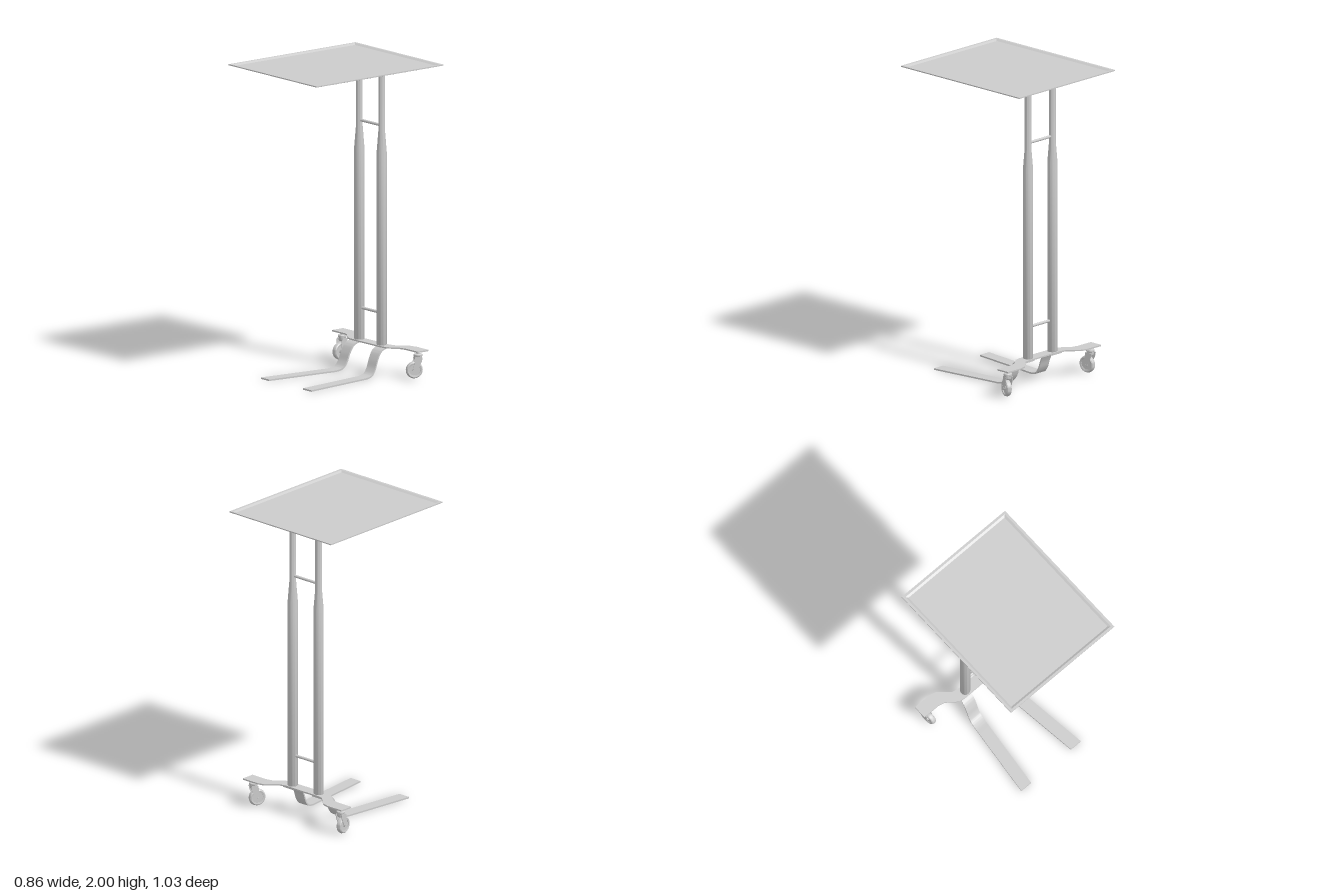
import * as THREE from 'three';
import { toCreasedNormals } from 'three/addons/utils/BufferGeometryUtils.js';

const grey = new THREE.MeshStandardMaterial({ color: 0xcccccc });

function add(parent, name, geometry, x = 0, y = 0, z = 0) {
  const mesh = new THREE.Mesh(geometry, grey);
  mesh.name = name;
  mesh.position.set(x, y, z);
  parent.add(mesh);
  return mesh;
}

const lathe = (pts, seg = 32) =>
  toCreasedNormals(new THREE.LatheGeometry(pts.map(p => new THREE.Vector2(...p)), seg), 0.6);

// Shallow rectangular tray: rings of [inset, height], from underside over the rim to the floor
function trayGeometry(hx, hz, rings) {
  const pos = [];
  const ring = ([i, y]) => [
    [hx - i, y, hz - i], [hx - i, y, i - hz], [i - hx, y, i - hz], [i - hx, y, hz - i]];
  const quad = (a, b, c, d) => pos.push(...a, ...b, ...c, ...a, ...c, ...d);
  const loops = rings.map(ring);
  for (let r = 0; r < loops.length - 1; r++) {
    for (let k = 0; k < 4; k++) {
      const n = (k + 1) % 4;
      quad(loops[r][k], loops[r][n], loops[r + 1][n], loops[r + 1][k]);
    }
  }
  quad(...loops[0].slice().reverse());
  quad(...loops[loops.length - 1]);
  const g = new THREE.BufferGeometry();
  g.setAttribute('position', new THREE.Float32BufferAttribute(pos, 3));
  g.computeVertexNormals();
  return g;
}

// Bent flat strip: S-curve in z and y, splayed outward toward the front
function footGeometry(side) {
  const curve = new THREE.CatmullRomCurve3([
    [-0.31, 0.174], [-0.262, 0.174], [-0.222, 0.156], [-0.192, 0.108], [-0.17, 0.052],
    [-0.143, 0.018], [-0.1, 0.006], [-0.04, 0.005]].map(p => new THREE.Vector3(p[0], p[1], 0)));
  const mid = curve.getPoints(42);
  mid.push(new THREE.Vector3(0.405, 0.005, 0));
  const offset = d => mid.map((p, i) => {
    const t = mid[Math.min(i + 1, mid.length - 1)].clone().sub(mid[Math.max(i - 1, 0)]).normalize();
    return new THREE.Vector2(p.x - t.y * d, Math.max(0, p.y + t.x * d));
  });
  const shape = new THREE.Shape([...offset(-0.005), ...offset(0.005).reverse()]);
  const g = new THREE.ExtrudeGeometry(shape, { depth: 0.082, bevelEnabled: false });
  g.rotateY(-Math.PI / 2).translate(0.041, 0, 0);
  const p = g.attributes.position;
  for (let i = 0; i < p.count; i++) {
    p.setX(i, p.getX(i) + side * (0.13 + 0.119 * (p.getZ(i) + 0.25)));
  }
  return toCreasedNormals(g, 0.6);
}

// Winged base plate with the caster pads set back
function plateGeometry() {
  const half = [[0.15, 0.243], [0.19, 0.25], [0.225, 0.277], [0.26, 0.305], [0.3, 0.315], [0.42, 0.315],
    [0.42, 0.405], [0.3, 0.405], [0.255, 0.393], [0.215, 0.357], [0.18, 0.326], [0.14, 0.317]];
  const mirrored = half.map(([x, y]) => [-x, y]).reverse();
  const shape = new THREE.Shape([...half, ...mirrored].map(p => new THREE.Vector2(...p)));
  return new THREE.ExtrudeGeometry(shape, { depth: 0.009, bevelEnabled: false }).rotateX(-Math.PI / 2);
}

// Swivel caster, origin at the stem on the floor, wheel trailing toward +z
function caster() {
  const g = new THREE.Group();
  const wheelY = 0.059, wheelZ = 0.024;
  add(g, 'casterStem', new THREE.CylinderGeometry(0.01, 0.01, 0.03, 20), 0, 0.166, 0);
  add(g, 'casterHousing', lathe([[0, 0.122], [0.02, 0.122], [0.024, 0.128], [0.024, 0.145],
    [0.027, 0.147], [0.027, 0.157], [0.022, 0.161], [0, 0.161]], 24));

  // Fork cheeks, tapering from the housing to the axle
  const cheek = new THREE.Shape();
  cheek.moveTo(-0.024, 0.14);
  cheek.lineTo(-0.02, 0.115);
  cheek.lineTo(wheelZ - 0.014, wheelY - 0.006);
  cheek.absarc(wheelZ, wheelY, 0.014, Math.PI * 1.1, Math.PI * 2.1, false);
  cheek.lineTo(0.026, 0.12);
  cheek.lineTo(0.024, 0.14);
  const cheekGeo = new THREE.ExtrudeGeometry(cheek, { depth: 0.004, bevelEnabled: false })
    .rotateY(-Math.PI / 2).translate(0.002, 0, 0);
  for (const s of [-1, 1]) add(g, 'casterFork', cheekGeo, s * 0.022, 0, 0);

  // Wheel: rounded tyre and recessed hub
  const tyre = lathe([[0.036, -0.015], [0.046, -0.017], [0.052, -0.012], [0.055, 0],
    [0.052, 0.012], [0.046, 0.017], [0.036, 0.015], [0.036, -0.015]], 36).rotateZ(Math.PI / 2);
  add(g, 'casterTyre', tyre, 0, wheelY, wheelZ);
  const hub = lathe([[0, -0.018], [0.012, -0.018], [0.014, -0.011], [0.037, -0.011],
    [0.037, 0.011], [0.014, 0.011], [0.012, 0.018], [0, 0.018]], 28).rotateZ(Math.PI / 2);
  add(g, 'casterHub', hub, 0, wheelY, wheelZ);
  add(g, 'casterAxle', new THREE.CylinderGeometry(0.006, 0.006, 0.052, 16).rotateZ(Math.PI / 2), 0, wheelY, wheelZ);
  return g;
}

export function createModel() {
  const model = new THREE.Group();
  model.name = 'trayStand';
  const postX = 0.11, postZ = -0.28;

  add(model, 'trayTop', trayGeometry(0.432, 0.515, [
    [0.028, 1.985], [0.014, 1.992], [0, 1.993], [0, 2], [0.016, 2], [0.03, 1.991]]));

  add(model, 'basePlate', plateGeometry(), 0, 0.178, 0);

  // Two telescoping posts and their feet
  const post = lathe([[0, 0.183], [0.028, 0.183], [0.032, 0.19], [0.032, 1.42],
    [0.0215, 1.55], [0.0215, 1.986], [0, 1.986]]);
  for (const side of [-1, 1]) {
    const label = side > 0 ? 'left' : 'right';
    add(model, label + 'Post', post, side * postX, 0, postZ);
    add(model, label + 'Foot', footGeometry(side));

    const wheel = caster();
    wheel.name = label + 'Caster';
    wheel.position.set(side * 0.372, 0, -0.358);
    wheel.rotation.y = side > 0 ? -0.42 : 0.12;
    model.add(wheel);
  }

  // Cross bars between the posts
  for (const [name, y] of [['lowerCrossBar', 0.39], ['upperCrossBar', 1.59]]) {
    add(model, name, new THREE.CylinderGeometry(0.009, 0.009, 2 * postX, 20).rotateZ(Math.PI / 2), 0, y, postZ);
  }
  return model;
}
